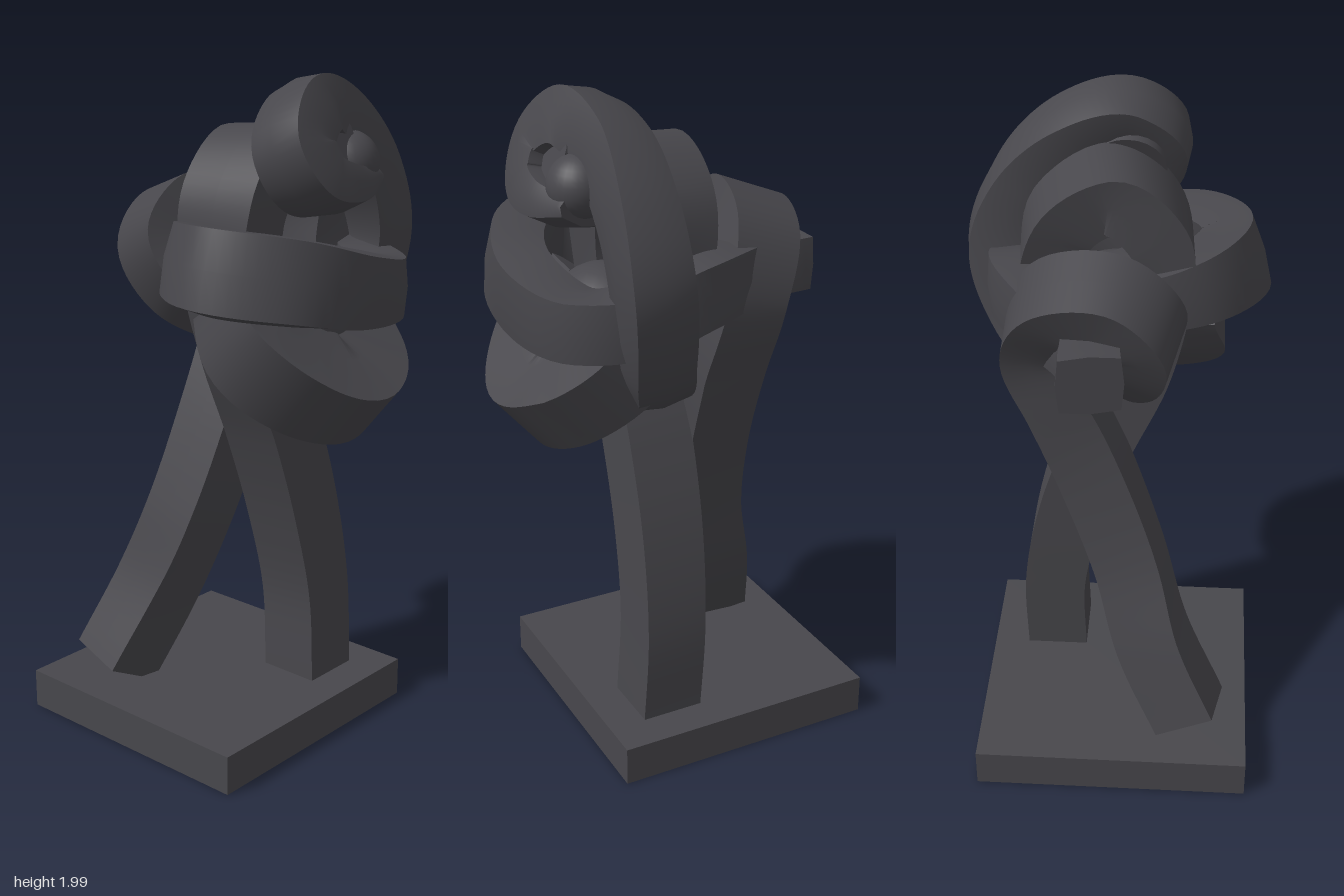
import * as THREE from 'three';

const bronze = new THREE.MeshStandardMaterial({ color: 0x48474c });
bronze.name = 'dark bronze';

// section outline: corners with face midpoints between them
const SECTION = [[1, 1], [0, 1], [-1, 1], [-1, 0], [-1, -1], [0, -1], [1, -1], [1, 0]];

// Sweeps a four-sided section along a smooth path; crown bulges its faces.
// Each station: [x, y, z,  side direction x, y, z,  width, thickness]
function strand(name, stations, steps, crown = 0) {
  const curve = (f) => new THREE.CatmullRomCurve3(stations.map(f));
  const path = curve((s) => new THREE.Vector3(s[0], s[1], s[2]));
  const sides = curve((s) => new THREE.Vector3(s[3], s[4], s[5]));
  const sizes = curve((s, i) => new THREE.Vector3(s[6], s[7], i));
  const rings = [];
  for (let i = 0; i <= steps; i++) {
    const u = i / steps;
    const p = path.getPoint(u), t = path.getTangent(u), size = sizes.getPoint(u);
    const s = sides.getPoint(u);
    s.addScaledVector(t, -s.dot(t)).normalize();
    const n = new THREE.Vector3().crossVectors(t, s);
    rings.push(SECTION.map(([a, b]) => p.clone()
      .addScaledVector(s, a * (size.x / 2 + (b === 0 ? crown : 0)))
      .addScaledVector(n, b * (size.y / 2 + (a === 0 ? crown : 0)))));
  }
  const pos = [], idx = [];
  // four faces, smooth along the length and sharp at the edges
  for (let k = 0; k < 8; k += 2) {
    const start = pos.length / 3;
    rings.forEach((r) => [k, k + 1, (k + 2) % 8].forEach((j) => pos.push(...r[j].toArray())));
    for (let i = 0; i < steps; i++) {
      for (let c = 0; c < 2; c++) {
        const a = start + i * 3 + c;
        idx.push(a, a + 1, a + 4, a, a + 4, a + 3);
      }
    }
  }
  // end caps
  for (const ring of [[...rings[0]].reverse(), rings[steps]]) {
    const a = pos.length / 3;
    ring.forEach((v) => pos.push(...v.toArray()));
    for (let j = 1; j < 7; j++) idx.push(a, a + j, a + j + 1);
  }
  const geo = new THREE.BufferGeometry();
  geo.setAttribute('position', new THREE.Float32BufferAttribute(pos, 3));
  geo.setIndex(idx);
  geo.computeVertexNormals();
  const mesh = new THREE.Mesh(geo, bronze);
  mesh.name = name;
  return mesh;
}

export function createModel() {
  const model = new THREE.Group();
  model.name = 'knotSculpture';

  // square plinth
  const base = new THREE.Mesh(new THREE.BoxGeometry(0.815, 0.12, 0.82), bronze);
  base.name = 'base';
  base.position.set(-0.105, 0.06, 0.01);
  model.add(base);

  // front leg, leaning back and curling forward into the small loop
  model.add(strand('frontLegAndSmallLoop', [
    [-0.325, 0.155, 0.245, 1, -0.05, 0.1, 0.19, 0.19],
    [-0.255, 0.40, 0.125, 1, -0.1, 0.1, 0.19, 0.19],
    [-0.18, 0.65, 0.05, 1, -0.1, 0.05, 0.19, 0.19],
    [-0.138, 0.93, -0.05, 1, 0, 0, 0.195, 0.19],
    [-0.13, 1.18, -0.15, 1, 0, 0, 0.2, 0.18],
    [-0.155, 1.38, -0.225, 0.97, 0.2, 0, 0.19, 0.16],
    [-0.225, 1.54, -0.16, 0.93, 0.35, 0.05, 0.21, 0.15],
    [-0.27, 1.575, 0.0, 0.93, 0.35, 0.15, 0.21, 0.15],
    [-0.265, 1.48, 0.1, 0.9, 0.38, 0.25, 0.2, 0.15],
    [-0.19, 1.36, 0.07, 0.85, 0.45, 0.2, 0.19, 0.16],
    [-0.1, 1.3, -0.02, 0.75, 0.6, 0, 0.18, 0.16],
    [0.04, 1.28, -0.07, 0.5, 0.8, 0, 0.17, 0.15],
  ], 88));

  // back leg, rising into the middle arch and down into the lower loop
  model.add(strand('backLegArchAndLowerLoop', [
    [0.095, 0.11, -0.195, 1, 0, 0, 0.19, 0.19],
    [0.08, 0.40, -0.195, 1, 0, 0, 0.19, 0.19],
    [0.068, 0.68, -0.14, 1, 0, 0, 0.195, 0.2],
    [0.062, 0.95, -0.05, 1, 0, 0, 0.2, 0.2],
    [0.06, 1.20, 0.06, 1, 0, 0, 0.2, 0.19],
    [0.055, 1.45, 0.125, 1, 0, 0, 0.23, 0.17],
    [0.06, 1.64, 0.11, 0.99, 0.08, -0.1, 0.25, 0.17],
    [0.06, 1.755, -0.02, 0.99, 0.1, -0.15, 0.25, 0.17],
    [0.06, 1.66, -0.16, 0.99, 0.1, -0.15, 0.23, 0.17],
    [0.09, 1.45, -0.19, 0.9, 0.4, 0, 0.2, 0.19],
    [0.19, 1.27, -0.18, 0.7, 0.7, 0, 0.2, 0.23],
    [0.305, 1.17, -0.1, 0.65, 0.76, 0, 0.2, 0.28],
    [0.345, 1.14, 0.0, 0.65, 0.76, 0, 0.2, 0.28],
    [0.305, 1.175, 0.11, 0.65, 0.76, 0, 0.22, 0.26],
    [0.225, 1.26, 0.2, 0.65, 0.76, 0, 0.23, 0.22],
    [0.14, 1.38, 0.19, 0.65, 0.76, 0, 0.2, 0.18],
  ], 120));

  // solid heart of the knot between the strands
  const core = new THREE.Mesh(new THREE.SphereGeometry(1, 24, 16), bronze);
  core.name = 'knotCore';
  core.position.set(0.17, 1.31, -0.01);
  core.scale.set(0.17, 0.17, 0.18);
  model.add(core);

  // level ring around the knot; its far end pokes out through the small loop
  model.add(strand('levelRing', [
    [-0.43, 1.42, -0.045, -0.05, 1, 0, 0.16, 0.165],
    [-0.26, 1.42, -0.07, 0, 1, 0, 0.16, 0.15],
    [-0.13, 1.46, -0.2, 0, 1, 0, 0.17, 0.15],
    [0.03, 1.46, -0.28, 0, 1, 0, 0.18, 0.16],
    [0.2, 1.4, -0.27, 0, 1, 0, 0.17, 0.15],
    [0.34, 1.385, -0.19, 0, 1, 0, 0.17, 0.15],
    [0.395, 1.42, 0.02, 0.05, 1, -0.1, 0.2, 0.15],
    [0.34, 1.465, 0.23, -0.1, 1, -0.2, 0.22, 0.15],
    [0.18, 1.485, 0.335, 0, 1, -0.3, 0.22, 0.15],
    [0.025, 1.48, 0.235, 0.1, 1, -0.2, 0.19, 0.16],
    [-0.01, 1.46, 0.08, 0, 1, 0, 0.16, 0.15],
    [0.08, 1.45, -0.03, 0, 1, 0, 0.15, 0.15],
  ], 88, 0.008));

  // tall arc up the back, curling over at the top
  model.add(strand('tallArcAndCurl', [
    [0.1, 1.15, 0.02, 1, 0, -0.1, 0.16, 0.15],
    [0.09, 1.17, -0.16, 1, 0, -0.1, 0.17, 0.15],
    [0.15, 1.28, -0.28, 1, 0, -0.1, 0.18, 0.15],
    [0.19, 1.5, -0.35, 1, 0.02, 0, 0.18, 0.16],
    [0.2, 1.7, -0.28, 0.98, 0.15, 0, 0.17, 0.16],
    [0.205, 1.84, -0.14, 0.95, 0.3, 0, 0.16, 0.16],
    [0.23, 1.882, 0.01, 0.94, 0.33, 0, 0.16, 0.16],
    [0.27, 1.8, 0.11, 0.94, 0.33, 0, 0.17, 0.15],
    [0.305, 1.705, 0.075, 0.94, 0.33, 0, 0.18, 0.13],
    [0.315, 1.675, -0.02, 0.94, 0.33, 0, 0.17, 0.1],
    [0.29, 1.68, -0.15, 0.94, 0.33, 0, 0.14, 0.05],
  ], 88, 0.013));

  // web closing the curl
  const web = new THREE.Mesh(new THREE.CylinderGeometry(0.11, 0.11, 0.17, 24), bronze);
  web.name = 'curlWeb';
  web.position.set(0.24, 1.785, 0.02);
  web.quaternion.setFromUnitVectors(new THREE.Vector3(0, 1, 0), new THREE.Vector3(0.94, 0.33, 0).normalize());
  model.add(web);

  // ball held in the curl
  const ball = new THREE.Mesh(new THREE.SphereGeometry(0.09, 28, 18), bronze);
  ball.name = 'ball';
  ball.position.set(0.285, 1.74, -0.105);
  model.add(ball);

  return model;
}
